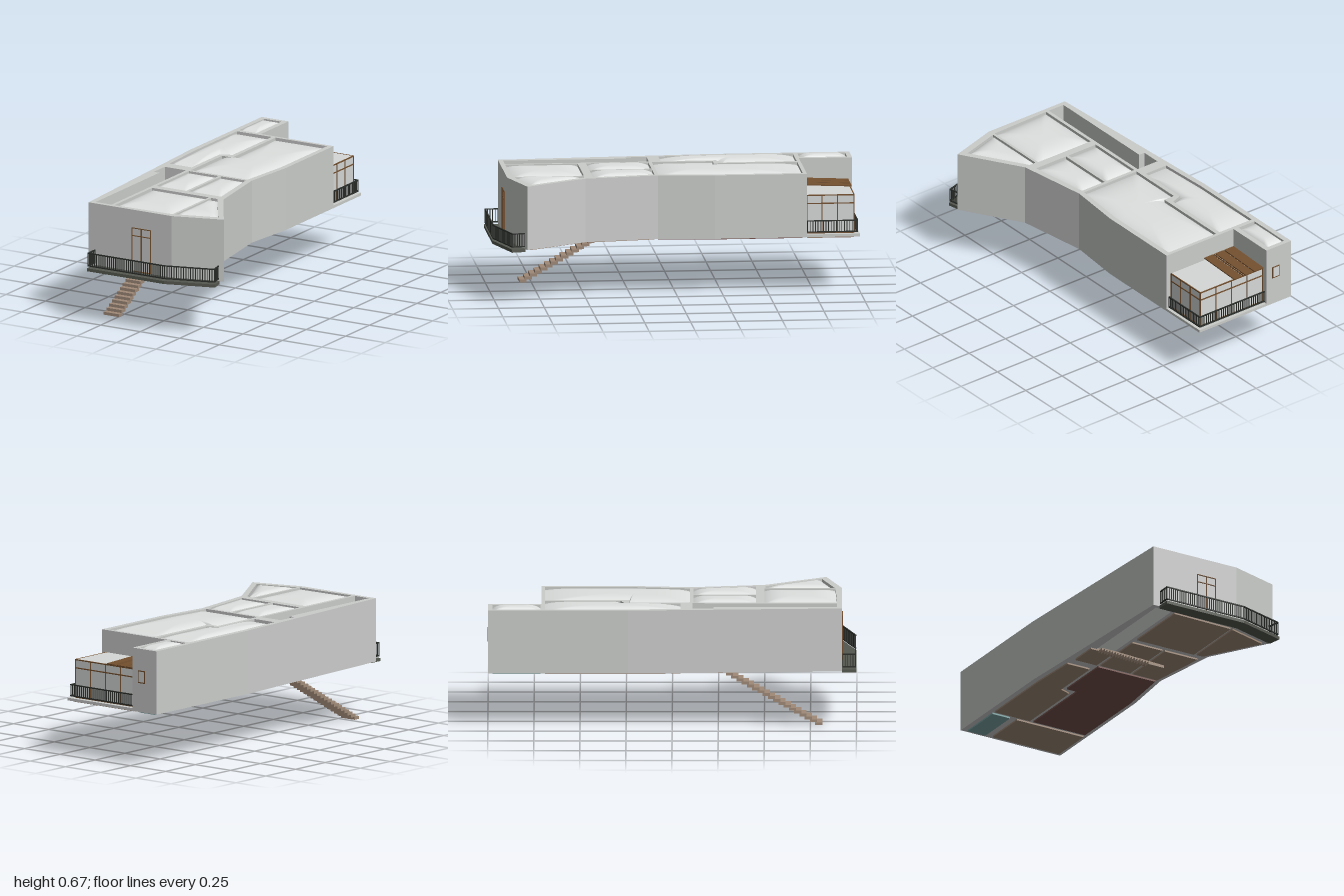
import * as THREE from 'three';
import { mergeGeometries } from 'three/addons/utils/BufferGeometryUtils.js';

const mat = (name, color) => {
  const m = new THREE.MeshStandardMaterial({ color });
  m.name = name;
  return m;
};

// Room outlines as [x, z] points; centre is a point that sees every corner
const ROOMS = [
  { name: 'towerRoom', floor: 'teal', c: [-0.35, -0.845], pts: [[-0.405, -0.975], [-0.295, -0.975], [-0.295, -0.715], [-0.405, -0.715]] },
  { name: 'sideRoom', floor: 'floor', c: [-0.315, -0.36], pts: [[-0.405, -0.69], [-0.185, -0.69], [-0.185, -0.28], [-0.25, -0.255], [-0.25, 0.045], [-0.39, 0.045], [-0.405, -0.24]] },
  { name: 'mainRoom', floor: 'maroon', c: [0, -0.2], pts: [[-0.16, -0.69], [0.165, -0.69], [0.165, -0.21], [0.135, 0.095], [-0.225, 0.095], [-0.225, -0.235], [-0.16, -0.235]] },
  { name: 'middleRoomRight', floor: 'floor', c: [-0.13, 0.285], pts: [[-0.225, 0.115], [-0.037, 0.115], [-0.037, 0.455], [-0.225, 0.455]] },
  { name: 'middleRoomLeft', floor: 'floor', c: [0.07, 0.285], pts: [[-0.02, 0.115], [0.135, 0.115], [0.185, 0.455], [-0.02, 0.455]] },
  { name: 'frontRoom', floor: 'floor', c: [-0.045, 0.695], pts: [[-0.225, 0.5], [0.135, 0.5], [0.135, 0.885], [-0.225, 0.895]] },
  { name: 'frontCornerRoom', floor: 'floor', c: [0.22, 0.72], pts: [[0.15, 0.505], [0.19, 0.505], [0.38, 0.81], [0.15, 0.88]] },
];
const STAIRWELL = [[-0.38, 0.11], [-0.245, 0.11], [-0.245, 0.895], [-0.345, 0.895], [-0.345, 0.225], [-0.38, 0.225]];
const OUTLINE = [[-0.435, -1], [-0.265, -1], [-0.265, -0.71], [0.195, -0.71], [0.195, -0.21], [0.165, 0.1],
  [0.225, 0.5], [0.43, 0.835], [0.15, 0.92], [-0.375, 0.92], [-0.435, -0.24]];

const vecs = pts => pts.map(p => new THREE.Vector2(p[0], p[1]));

// Upright prism between two heights from a plan outline
function prism(pts, y0, y1, holes = []) {
  const s = new THREE.Shape(vecs(pts));
  holes.forEach(h => s.holes.push(new THREE.Path(vecs(h))));
  return new THREE.ExtrudeGeometry(s, { depth: y1 - y0, bevelEnabled: false }).rotateX(Math.PI / 2).translate(0, y1, 0);
}

function box(x0, x1, y0, y1, z0, z1) {
  return new THREE.BoxGeometry(x1 - x0, y1 - y0, z1 - z0).translate((x0 + x1) / 2, (y0 + y1) / 2, (z0 + z1) / 2);
}

// Cushion roof: plan outline shrunk in rings towards its centre while rising
function cushion(pts, c) {
  const edge = [], steps = 10, rings = 12;
  pts.forEach((p, i) => {
    const q = pts[(i + 1) % pts.length];
    for (let k = 0; k < steps; k++) edge.push([p[0] + (q[0] - p[0]) * k / steps, p[1] + (q[1] - p[1]) * k / steps]);
  });
  const n = edge.length, pos = [], idx = [];
  for (let r = 0; r <= rings; r++) {
    const f = 1 - (r / rings) ** 1.5;
    for (const e of edge) pos.push(c[0] + (e[0] - c[0]) * f, 0.638 + 0.027 * (1 - f ** 4), c[1] + (e[1] - c[1]) * f);
  }
  for (let r = 0; r < rings; r++) for (let i = 0; i < n; i++) {
    const a = r * n + i, b = r * n + (i + 1) % n;
    idx.push(a, a + n, b);
    if (r < rings - 1) idx.push(b, a + n, b + n);
  }
  const g = new THREE.BufferGeometry();
  g.setAttribute('position', new THREE.Float32BufferAttribute(pos, 3));
  g.setIndex(idx);
  g.computeVertexNormals();
  return g;
}

// Railing with two rails and close upright bars along a plan path
function railing(path, y0, y1, gap) {
  const parts = [];
  for (let i = 0; i < path.length - 1; i++) {
    const [ax, az] = path[i], [bx, bz] = path[i + 1];
    const len = Math.hypot(bx - ax, bz - az), ang = -Math.atan2(bz - az, bx - ax);
    for (const y of [y0 + 0.003, y1 - 0.003])
      parts.push(new THREE.BoxGeometry(len + 0.005, 0.006, 0.007).rotateY(ang).translate((ax + bx) / 2, y, (az + bz) / 2));
    const n = Math.max(1, Math.round(len / gap));
    for (let k = 0; k <= n; k++)
      parts.push(new THREE.BoxGeometry(0.004, y1 - y0, 0.004).rotateY(ang).translate(ax + (bx - ax) * k / n, (y0 + y1) / 2, az + (bz - az) * k / n));
  }
  return mergeGeometries(parts);
}

export function createModel() {
  const M = {
    wall: mat('wall grey', 0xcbcdcb),
    roof: mat('roof pale grey', 0xdee1df),
    glass: mat('glazing pale grey', 0xd6d8d7),
    wood: mat('brown wood', 0x74502f),
    floor: mat('taupe floor', 0xa08a78),
    maroon: mat('maroon floor', 0x76524a),
    teal: mat('teal floor', 0x7fa6a6),
    slab: mat('dark slab', 0x55584f),
    rail: mat('black rail', 0x2b2f2b),
  };
  const model = new THREE.Group();
  model.name = 'house';
  const add = (name, geo, m) => {
    const mesh = new THREE.Mesh(geo, m);
    mesh.name = name;
    model.add(mesh);
    return mesh;
  };

  // Walls with the rooms and stairwell cut out, plus roofs and floors
  add('walls', prism(OUTLINE, 0.305, 0.655, [...ROOMS.map(r => r.pts), STAIRWELL]), M.wall);
  for (const r of ROOMS) {
    add(r.name + 'Roof', cushion(r.pts, r.c), M.roof);
    add(r.name + 'Floor', prism(r.pts, 0.296, 0.312), M[r.floor]);
  }

  // Entrance landing and open stairs
  add('landing', box(-0.38, -0.245, 0.296, 0.312, 0.11, 0.275), M.floor);
  const steps = 18, treads = [];
  for (let i = 0; i < steps; i++) {
    const y = 0.29 * i / steps, z = 0.815 - 0.0285 * i;
    treads.push(box(-0.343, -0.246, y, y + 0.0158, z - 0.039, z));
  }
  add('stairs', mergeGeometries(treads), M.floor);

  // Front balcony
  add('balconySlab', prism([[-0.338, 0.92], [0.15, 0.92], [0.408, 0.843], [0.424, 0.918], [0.15, 1], [-0.338, 1]], 0.291, 0.308), M.slab);
  add('balconyRailing', railing([[-0.333, 0.925], [-0.333, 0.994], [0.15, 0.994], [0.418, 0.914], [0.403, 0.85]], 0.318, 0.395, 0.0135), M.rail);

  // Front door frame
  const f = 0.004, zf = 0.919;
  add('frontDoorFrame', mergeGeometries([
    box(-0.1, -0.1 + f, 0.31, 0.555, zf, zf + 0.006),
    box(0.02 - f, 0.02, 0.31, 0.555, zf, zf + 0.006),
    box(-0.043, -0.037, 0.31, 0.555, zf, zf + 0.006),
    box(-0.1, 0.02, 0.555 - f, 0.555, zf, zf + 0.006),
    box(-0.1, 0.02, 0.508, 0.508 + f, zf, zf + 0.006),
    box(-0.1, 0.02, 0.308, 0.308 + f, zf, zf + 0.006),
  ]), M.wood);

  // Back terrace with its glazed room
  add('terraceSlab', box(-0.265, 0.195, 0.305, 0.32, -1, -0.71), M.wall);
  add('terraceFloor', box(-0.25, 0.17, 0.296, 0.306, -0.97, -0.715), M.floor);
  add('glazedRoom', box(-0.265, 0.163, 0.32, 0.532, -0.968, -0.71), M.glass);
  const frame = [];
  for (const y of [0.322, 0.485, 0.53]) {
    frame.push(box(-0.265, 0.167, y - 0.003, y + 0.003, -0.972, -0.966));
    frame.push(box(0.161, 0.167, y - 0.003, y + 0.003, -0.972, -0.71));
  }
  for (const x of [-0.262, -0.155, -0.048, 0.058, 0.164]) frame.push(box(x - 0.003, x + 0.003, 0.32, 0.533, -0.972, -0.966));
  for (const z of [-0.88, -0.795, -0.713]) frame.push(box(0.161, 0.167, 0.32, 0.533, z - 0.003, z + 0.003));
  add('glazedRoomFrame', mergeGeometries(frame), M.wood);
  add('terraceRailing', railing([[-0.26, -0.987], [0.182, -0.987], [0.182, -0.715]], 0.328, 0.395, 0.0145), M.rail);

  // Sloping timber shade boards over part of the glazed room
  const boards = [[-0.263, -0.2], [-0.194, -0.138], [-0.131, -0.125], [-0.118, -0.062]]
    .map(([a, b]) => box(a, b, -0.003, 0.003, -0.133, 0.133));
  const shade = add('shadeBoards', mergeGeometries(boards), M.wood);
  shade.position.set(0, 0.541, -0.845);
  shade.rotation.x = -0.04;

  // Small tower window at the back
  add('towerWindowFrame', box(-0.355, -0.305, 0.465, 0.535, -1.002, -0.998), M.wood);
  add('towerWindowPane', box(-0.349, -0.311, 0.471, 0.529, -1.003, -0.998), M.glass);

  return model;
}
